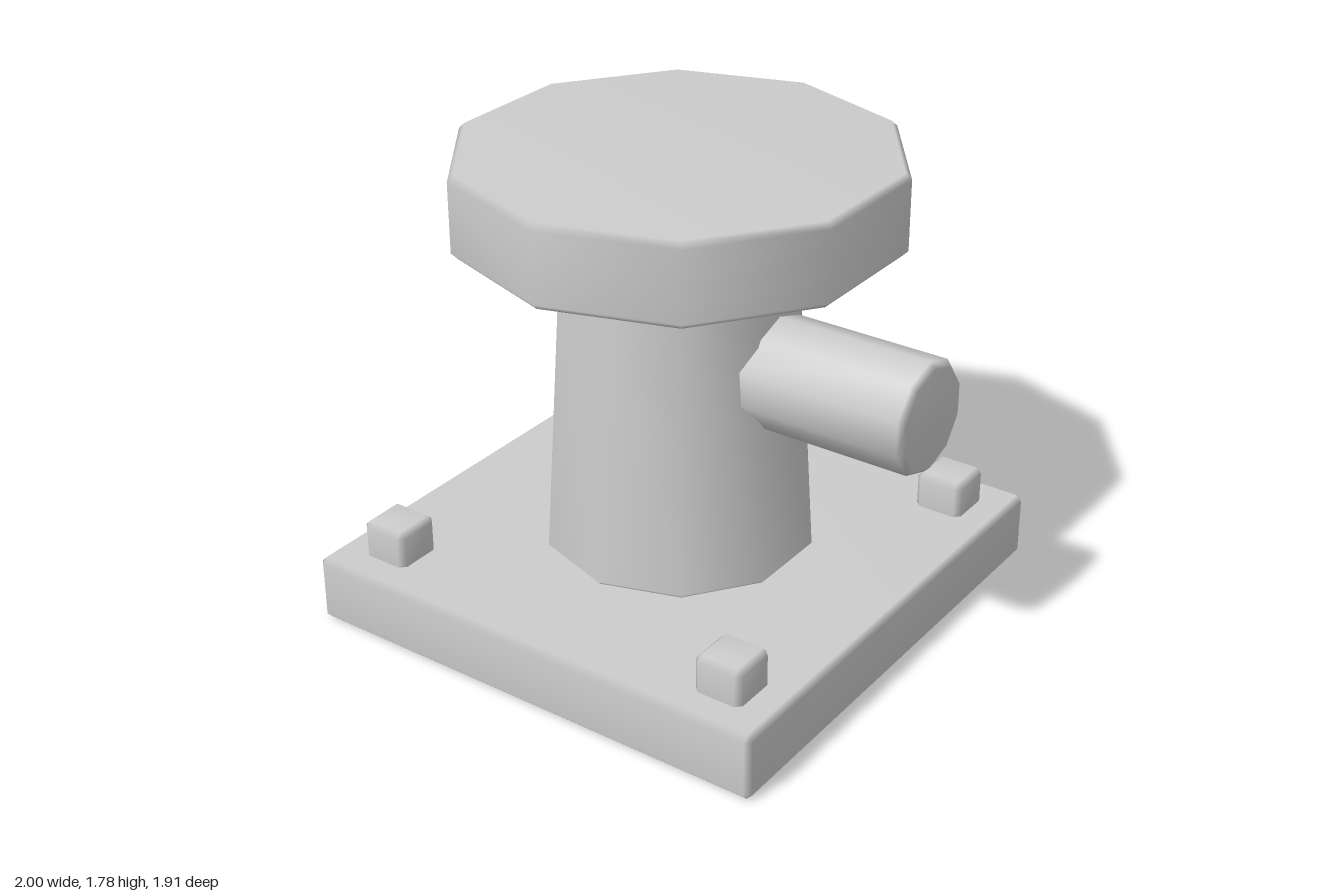
import * as THREE from 'three';
import { mergeVertices } from 'three/addons/utils/BufferGeometryUtils.js';
import { ConvexGeometry } from 'three/addons/geometries/ConvexGeometry.js';

const SIDES = 10;
const BEVEL = 0.022;
const CENTRE = -0.045; // the pipe sticks out to +x, so the body sits slightly to -x

// Share corners so the shading runs smoothly over the bevels
function smooth(geometry) {
  geometry.deleteAttribute('normal');
  if (geometry.attributes.uv) geometry.deleteAttribute('uv');
  const merged = mergeVertices(geometry);
  merged.computeVertexNormals();
  return merged;
}

// Ten-sided solid with bevelled rims, standing on y = 0
function bevelledPrism(bottomRadius, topRadius, height) {
  const profile = [
    [0, 0],
    [bottomRadius - BEVEL, 0],
    [bottomRadius, BEVEL],
    [topRadius, height - BEVEL],
    [topRadius - BEVEL, height],
    [0, height],
  ].map(([r, y]) => new THREE.Vector2(r, y));
  return smooth(new THREE.LatheGeometry(profile, SIDES));
}

// Box with every edge chamfered, standing on y = 0
function bevelledBox(width, height, depth) {
  const half = [width / 2, height / 2, depth / 2];
  const points = [];
  for (const sx of [-1, 1]) for (const sy of [-1, 1]) for (const sz of [-1, 1]) {
    const signs = [sx, sy, sz];
    for (let axis = 0; axis < 3; axis++) {
      const p = half.map((h, i) => signs[i] * (i === axis ? h : h - BEVEL));
      points.push(new THREE.Vector3(...p));
    }
  }
  return smooth(new ConvexGeometry(points)).translate(0, height / 2, 0);
}

export function createModel() {
  const model = new THREE.Group();
  model.name = 'flangedPost';
  const metal = new THREE.MeshStandardMaterial({ color: 0xcccccc });
  metal.name = 'light grey metal';

  const add = (name, geometry, x, y, z) => {
    const mesh = new THREE.Mesh(geometry, metal);
    mesh.name = name;
    mesh.position.set(x, y, z);
    model.add(mesh);
    return mesh;
  };

  // Square foot plate
  add('basePlate', bevelledBox(1.91, 0.26, 1.91), CENTRE, 0, 0);

  // Four square bolts
  const bolt = bevelledBox(0.19, 0.2, 0.19);
  for (const sx of [-1, 1]) for (const sz of [-1, 1]) {
    add('bolt', bolt, CENTRE + sx * 0.74, 0.2, sz * 0.74);
  }

  // Tapered column and wide cap
  add('column', bevelledPrism(0.512, 0.437, 1.23), CENTRE, 0.255, 0);
  add('cap', bevelledPrism(0.82, 0.82, 0.305), CENTRE, 1.48, 0);

  // Side pipe, lying along +x with a corner on top
  const pipe = bevelledPrism(0.21, 0.21, 0.9);
  pipe.rotateY(Math.PI / 2).rotateZ(-Math.PI / 2);
  add('sidePipe', pipe, 0.1, 1.045, 0);

  return model;
}
